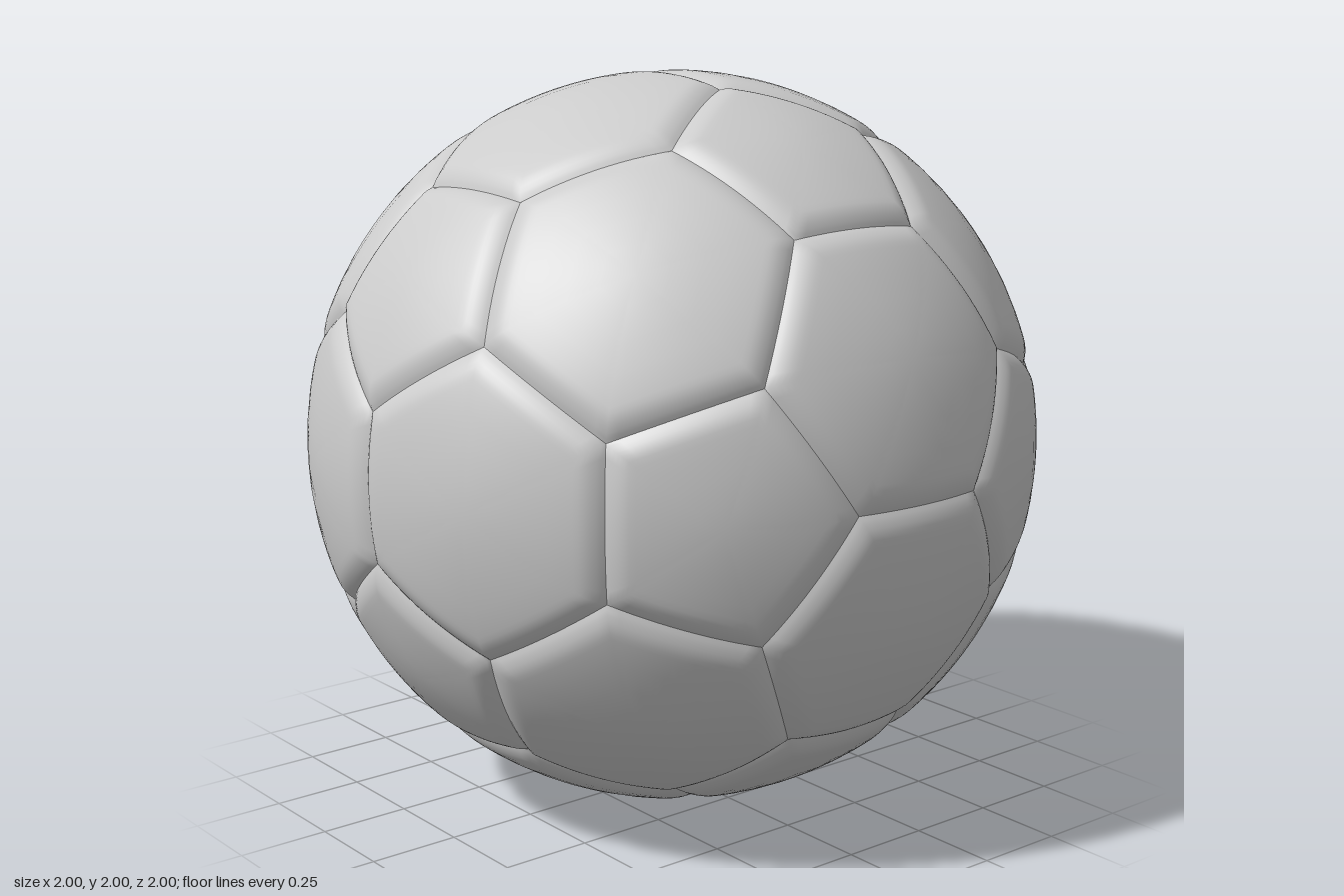
import * as THREE from 'three';
import { mergeVertices } from 'three/addons/utils/BufferGeometryUtils.js';

const RADIUS = 1.001, SEAM_DEPTH = 0.021, SEAM_WIDTH = 0.065;
const RINGS = [0, 0.2, 0.4, 0.6, 0.72, 0.78, 0.82, 0.86, 0.9, 0.94, 0.97, 1];
const SIDE_STEPS = 12;

// The 12 icosahedron corners, which are the pentagon centres
function icosahedronCorners() {
  const phi = (1 + Math.sqrt(5)) / 2, corners = [];
  for (const s of [-1, 1]) for (const t of [-phi, phi]) {
    corners.push(new THREE.Vector3(0, s, t), new THREE.Vector3(s, t, 0), new THREE.Vector3(t, 0, s));
  }
  return corners;
}

// Sort panel corners counter-clockwise as seen from outside
function sortAround(centre, points) {
  const u = points[0].clone().projectOnPlane(centre).normalize();
  const v = centre.clone().cross(u);
  const angle = (p) => Math.atan2(p.dot(v), p.dot(u));
  return points.sort((a, b) => angle(a) - angle(b));
}

// One spherical panel whose rim curves down into the seam
function panelGeometry(corners) {
  const centre = new THREE.Vector3();
  corners.forEach((c) => centre.add(c));
  centre.divideScalar(corners.length);
  const sorted = sortAround(centre.clone().normalize(), corners);
  const positions = [], index = [];
  sorted.forEach((a, side) => {
    const b = sorted[(side + 1) % sorted.length];
    const seamPlane = a.clone().cross(b).normalize();
    const start = positions.length / 3;
    for (const ring of RINGS) {
      for (let i = 0; i <= SIDE_STEPS; i++) {
        const p = a.clone().lerp(b, i / SIDE_STEPS);
        p.lerpVectors(centre, p, ring).normalize();
        const toSeam = Math.asin(Math.max(0, p.dot(seamPlane)));
        const fall = Math.max(0, 1 - toSeam / SEAM_WIDTH);
        p.multiplyScalar(RADIUS - SEAM_DEPTH * fall * fall);
        positions.push(p.x, p.y, p.z);
      }
    }
    const row = SIDE_STEPS + 1;
    for (let r = 0; r < RINGS.length - 1; r++) {
      for (let i = 0; i < SIDE_STEPS; i++) {
        const p = start + r * row + i, q = p + row;
        index.push(p, q, q + 1);
        if (r > 0) index.push(p, q + 1, p + 1);
      }
    }
  });
  let geometry = new THREE.BufferGeometry();
  geometry.setAttribute('position', new THREE.Float32BufferAttribute(positions, 3));
  geometry.setIndex(index);
  geometry = mergeVertices(geometry, 1e-5);
  geometry.computeVertexNormals();
  return geometry;
}

export function createModel() {
  const ball = new THREE.Group();
  ball.name = 'ball';
  const material = new THREE.MeshStandardMaterial({ color: 0xcccccc });
  const V = icosahedronCorners();
  const near = (i, j) => i !== j && V[i].distanceTo(V[j]) < 2.1;
  // Seam corner one third of the way from corner i to corner j
  const third = (i, j) => V[i].clone().multiplyScalar(2).add(V[j]).normalize();

  function addPanel(name, corners) {
    const mesh = new THREE.Mesh(panelGeometry(corners), material);
    mesh.name = name;
    mesh.position.y = 1;
    ball.add(mesh);
  }

  const ids = V.map((_, i) => i);
  // Twelve pentagon panels
  for (const i of ids) {
    addPanel('pentagonPanel', ids.filter((j) => near(i, j)).map((j) => third(i, j)));
  }
  // Twenty hexagon panels
  for (const i of ids) for (let j = i + 1; j < 12; j++) for (let k = j + 1; k < 12; k++) {
    if (near(i, j) && near(j, k) && near(i, k)) {
      addPanel('hexagonPanel', [[i, j], [j, i], [j, k], [k, j], [k, i], [i, k]].map(([m, n]) => third(m, n)));
    }
  }
  return ball;
}
